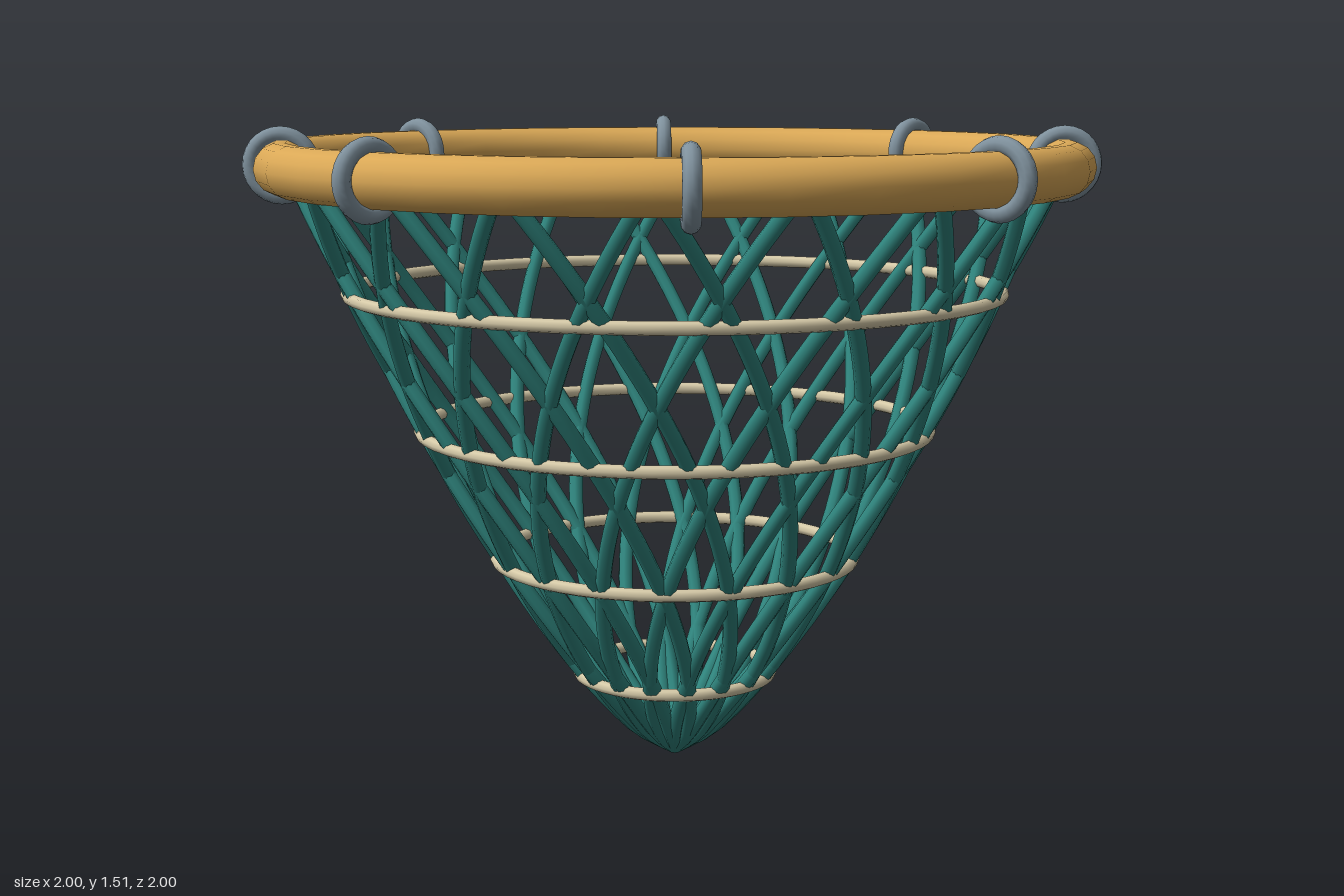
import * as THREE from 'three';

const material = (name, color) => {
  const m = new THREE.MeshStandardMaterial({ color });
  m.name = name;
  return m;
};

// Net surface: a rounded cone, u = 0 at the tip and u = 1 at the rim
const NET_RADIUS = 0.885, NET_HEIGHT = 1.405, NET_BASE = 0.015, POWER = 0.7;
const netRadius = (u) => NET_RADIUS * Math.pow(u, POWER);
const RIM_Y = 1.42, RIM_RADIUS = 0.906;

export function createModel() {
  const model = new THREE.Group();
  model.name = 'hoopNet';
  const wood = material('warm wood', 0xdaa856);
  const cord = material('teal cord', 0x2f847d);
  const twine = material('pale twine', 0xd6caa8);
  const steel = material('grey steel', 0x80929e);

  const add = (parent, name, geometry, mat) => {
    const mesh = new THREE.Mesh(geometry, mat);
    mesh.name = name;
    parent.add(mesh);
    return mesh;
  };
  const group = (name) => {
    const g = new THREE.Group();
    g.name = name;
    model.add(g);
    return g;
  };
  const flatRing = (parent, name, radius, tube, y, sides, segments, mat) => {
    const ring = add(parent, name, new THREE.TorusGeometry(radius, tube, sides, segments), mat);
    ring.rotation.x = Math.PI / 2;
    ring.position.y = y;
  };

  // Wooden rim
  flatRing(model, 'rim', RIM_RADIUS, 0.059, RIM_Y, 14, 32, wood);

  // Steel rings wrapped around the rim
  const rings = group('rimRings');
  for (let i = 0; i < 8; i++) {
    const a = (i * Math.PI) / 4;
    const ring = add(rings, 'rimRing', new THREE.TorusGeometry(0.07, 0.02, 10, 28), steel);
    ring.position.set(Math.cos(a) * 0.91, RIM_Y, -Math.sin(a) * 0.91);
    ring.rotation.y = a;
  }

  // Net cords: spirals in both directions from each anchor, running straight into the tip
  const net = group('net');
  const COUNT = 18, TWIST = Math.PI / 3, STEPS = 24;
  for (let i = 0; i < COUNT; i++) {
    for (const side of [-1, 1]) {
      const points = [];
      for (let k = 0; k <= STEPS; k++) {
        const u = k / STEPS;
        const a = ((i + 0.5) / COUNT) * Math.PI * 2 + side * TWIST * (1 - u);
        const r = netRadius(u);
        points.push(new THREE.Vector3(r * Math.sin(a), NET_BASE + NET_HEIGHT * u, r * Math.cos(a)));
      }
      const path = new THREE.CatmullRomCurve3(points);
      add(net, 'netCord', new THREE.TubeGeometry(path, 40, 0.018, 8), cord);
    }
  }

  // Horizontal twine hoops, tied just outside the cords
  const hoops = group('twineHoops');
  for (const y of [0.21, 0.495, 0.805, 1.13]) {
    const radius = netRadius((y - NET_BASE) / NET_HEIGHT) + 0.009;
    flatRing(hoops, 'twineHoop', radius, 0.015, y, 8, 56, twine);
  }
  return model;
}
